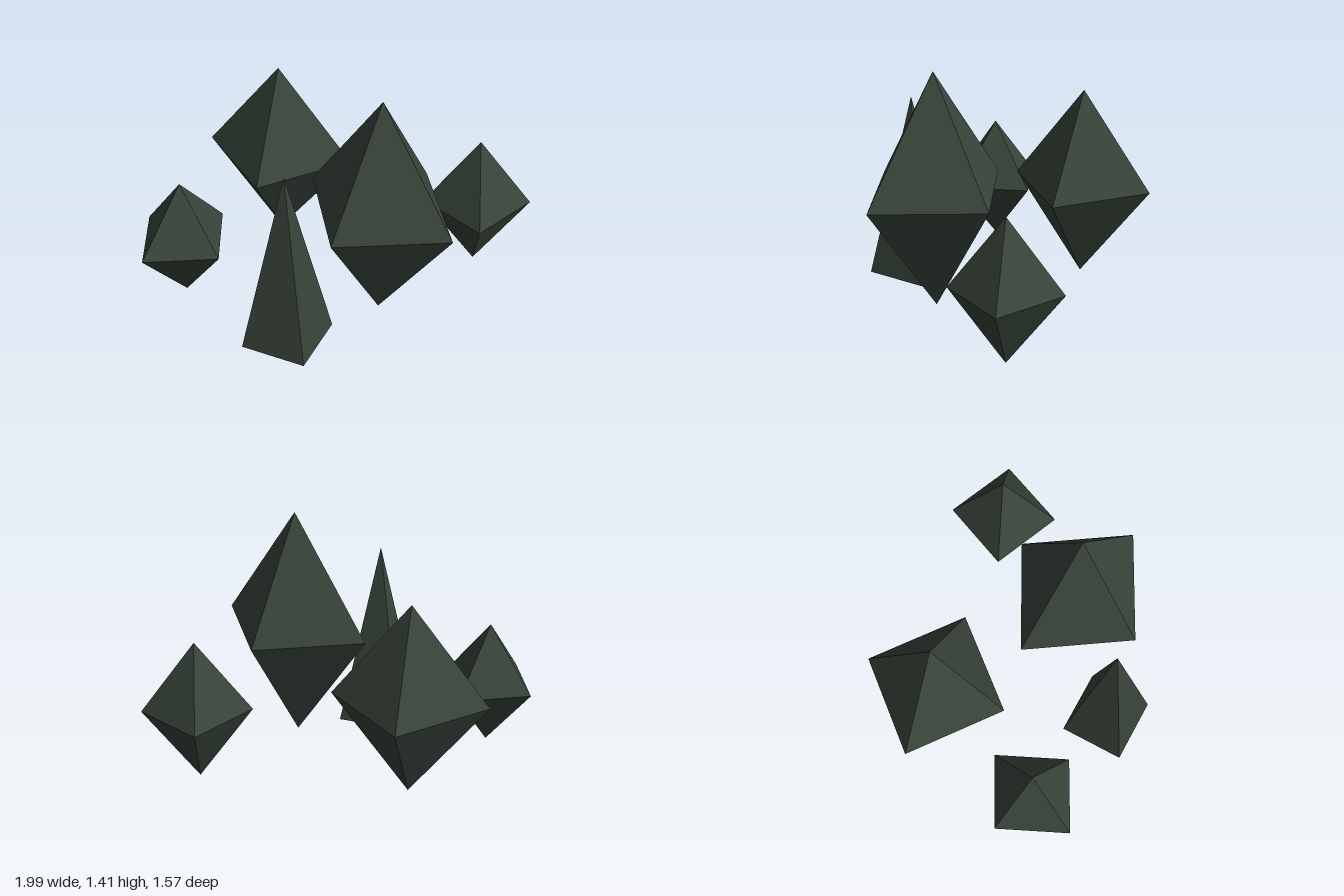
import * as THREE from 'three';

export function createModel() {
  const group = new THREE.Group();
  const darkGreen = new THREE.MeshStandardMaterial({ color: 0x38443a, flatShading: true });
  darkGreen.name = 'dark green';

  // Floating crystals: centre, half sizes and turn about y
  const crystals = [
    ['largeCrystal', [0.37, 0.717, 0.175], [0.48, 0.692, 0.436], -0.2475],
    ['mediumCrystal', [-0.47, 0.59, -0.288], [0.438, 0.565, 0.418], 0.12],
    ['smallBackCrystal', [0.707, 0.423, -0.497], [0.312, 0.418, 0.312], 0.395],
    ['smallFrontCrystal', [-0.721, 0.38, 0.47], [0.292, 0.375, 0.311], -0.318],
  ];
  for (const [name, centre, size, turn] of crystals) {
    const crystal = new THREE.Mesh(new THREE.OctahedronGeometry(1), darkGreen);
    crystal.name = name;
    crystal.position.set(...centre);
    crystal.scale.set(...size);
    crystal.rotation.y = turn;
    group.add(crystal);
  }

  // Tall square spike standing on the ground
  const spikeGeometry = new THREE.ConeGeometry(0.19 * Math.SQRT2, 1.09, 4);
  spikeGeometry.rotateY(Math.PI / 4);
  const spike = new THREE.Mesh(spikeGeometry, darkGreen);
  spike.name = 'spike';
  spike.position.set(-0.006, 0.545, 0.595);
  group.add(spike);

  return group;
}
